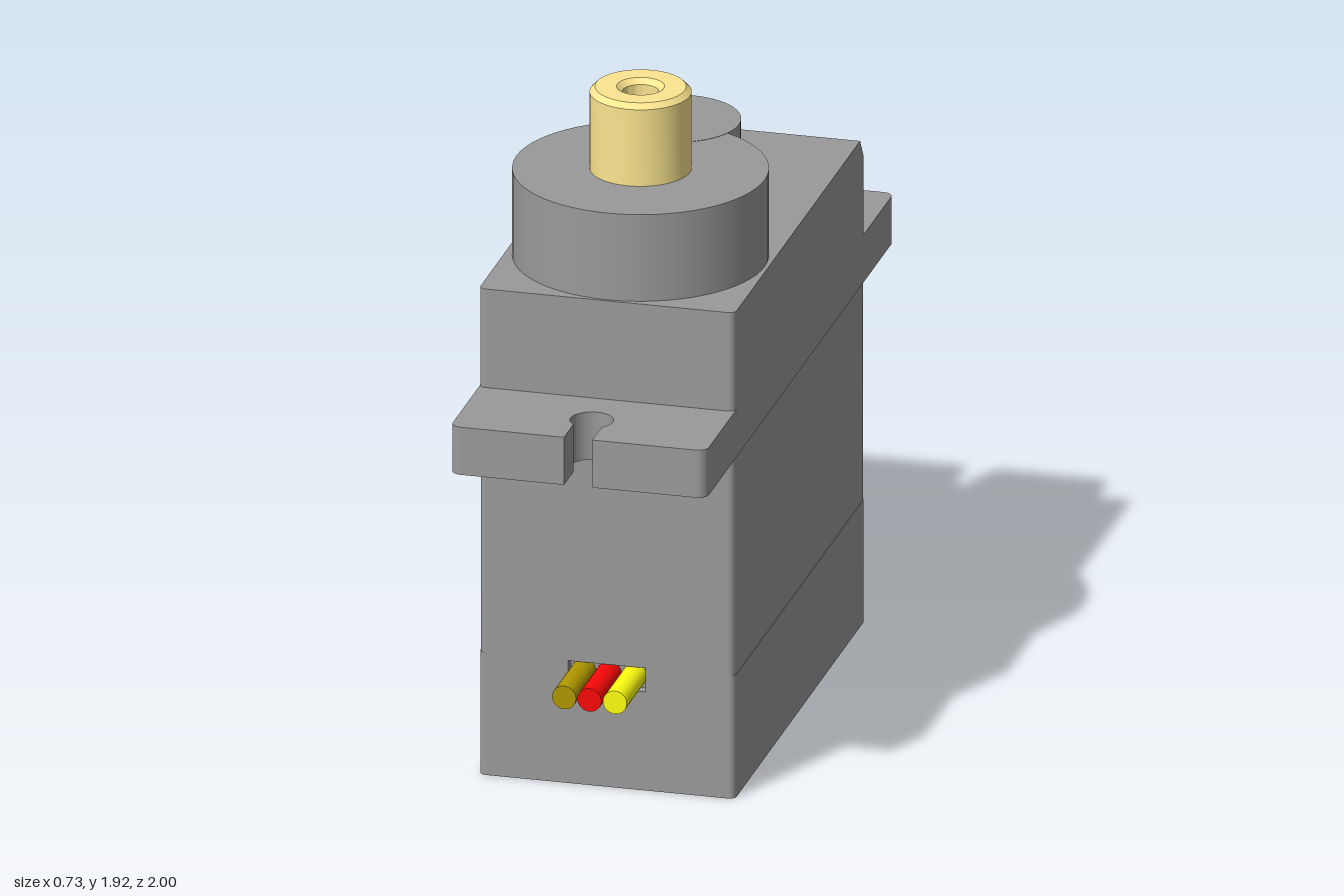
import * as THREE from 'three';
import { toCreasedNormals } from 'three/addons/utils/BufferGeometryUtils.js';

const CASING = 0x9a9a9a;

function part(name, geometry, color = CASING) {
  const mesh = new THREE.Mesh(geometry, new THREE.MeshStandardMaterial({ color }));
  mesh.name = name;
  return mesh;
}

// Rounded rectangle in plan (shape y = -z); cuts may notch the front and back edges
function outline(w, l, r, frontCut, backCut) {
  const s = new THREE.Shape();
  s.moveTo(-w + r, -l);
  if (frontCut) frontCut(s);
  s.lineTo(w - r, -l);
  s.absarc(w - r, -l + r, r, -Math.PI / 2, 0);
  s.lineTo(w, l - r);
  s.absarc(w - r, l - r, r, 0, Math.PI / 2);
  if (backCut) backCut(s);
  s.lineTo(-w + r, l);
  s.absarc(-w + r, l - r, r, Math.PI / 2, Math.PI);
  s.lineTo(-w, -l + r);
  s.absarc(-w + r, -l + r, r, Math.PI, Math.PI * 1.5);
  return s;
}

// Extrude a plan shape upwards from y0 to y1
function slab(shape, y0, y1) {
  return new THREE.ExtrudeGeometry(shape, { depth: y1 - y0, bevelEnabled: false, curveSegments: 16 })
    .rotateX(-Math.PI / 2).translate(0, y0, 0);
}

// Keyhole slot: sign -1 opens to the front, +1 to the back
const keyhole = (sign) => (s) => {
  const half = 0.04, radius = 0.06, a = Math.asin(half / radius), mid = sign * Math.PI / 2;
  s.lineTo(sign * half, sign);
  s.absarc(0, sign * 0.855, radius, mid - a, mid + a, true);
  s.lineTo(-sign * half, sign);
};

export function createModel() {
  const model = new THREE.Group();
  const L = 0.695, R = 0.02, W = 0.363;

  // Lower casing with a shallow recess for the wires
  const recess = (s) => {
    s.lineTo(-0.11, -L);
    s.lineTo(-0.11, -L + 0.03);
    s.lineTo(0.11, -L + 0.03);
    s.lineTo(0.11, -L);
  };
  model.add(part('baseCasing', slab(outline(W, L, R), 0, 0.29)));
  model.add(part('wireOutletCasing', slab(outline(W, L, R, recess), 0.29, 0.36)));

  // Main casing, mounting plate with a keyhole slot at both ends, upper casing
  model.add(part('mainCasing', slab(outline(0.361, L, R), 0.36, 1.0)));
  model.add(part('mountingFlange', slab(outline(W, 1, 0.03, keyhole(-1), keyhole(1)), 1.0, 1.14)));
  model.add(part('upperCasing', slab(outline(W, L, R), 1.14, 1.37)));

  // Casing lid, with its rear top edge drawn forward into a chamfer
  const lid = slab(outline(W, L, R), 1.37, 1.43);
  const p = lid.attributes.position;
  for (let i = 0; i < p.count; i++) {
    if (p.getY(i) > 1.4) p.setZ(i, Math.max(p.getZ(i), -0.64));
  }
  lid.computeVertexNormals();
  model.add(part('casingLid', lid));

  // Gear housing
  const drum = (name, r, top, z) =>
    model.add(part(name, new THREE.CylinderGeometry(r, r, top - 1.4, 64).translate(0, (top + 1.4) / 2, z)));
  drum('gearHousing', 0.352, 1.685, 0.335);
  drum('idlerHousing', 0.178, 1.686, -0.045);

  // Hollow output shaft with chamfered rims
  const profile = [
    [0.14, 1.68], [0.14, 1.91], [0.125, 1.925], [0.066, 1.925], [0.05, 1.91], [0.05, 1.68],
  ].map(([x, y]) => new THREE.Vector2(x, y));
  const shaft = part('outputShaft', toCreasedNormals(new THREE.LatheGeometry(profile, 48), 0.5), 0xfce690);
  shaft.position.z = 0.335;
  model.add(shaft);

  // Three wire stubs
  [['brownWire', 0xb09800], ['redWire', 0xfa0808], ['yellowWire', 0xffff10]].forEach(([name, color], i) => {
    const wire = part(name, new THREE.CylinderGeometry(0.034, 0.034, 0.26, 24).rotateX(Math.PI / 2), color);
    wire.position.set((i - 1) * 0.072, 0.325, 0.75);
    model.add(wire);
  });

  return model;
}
